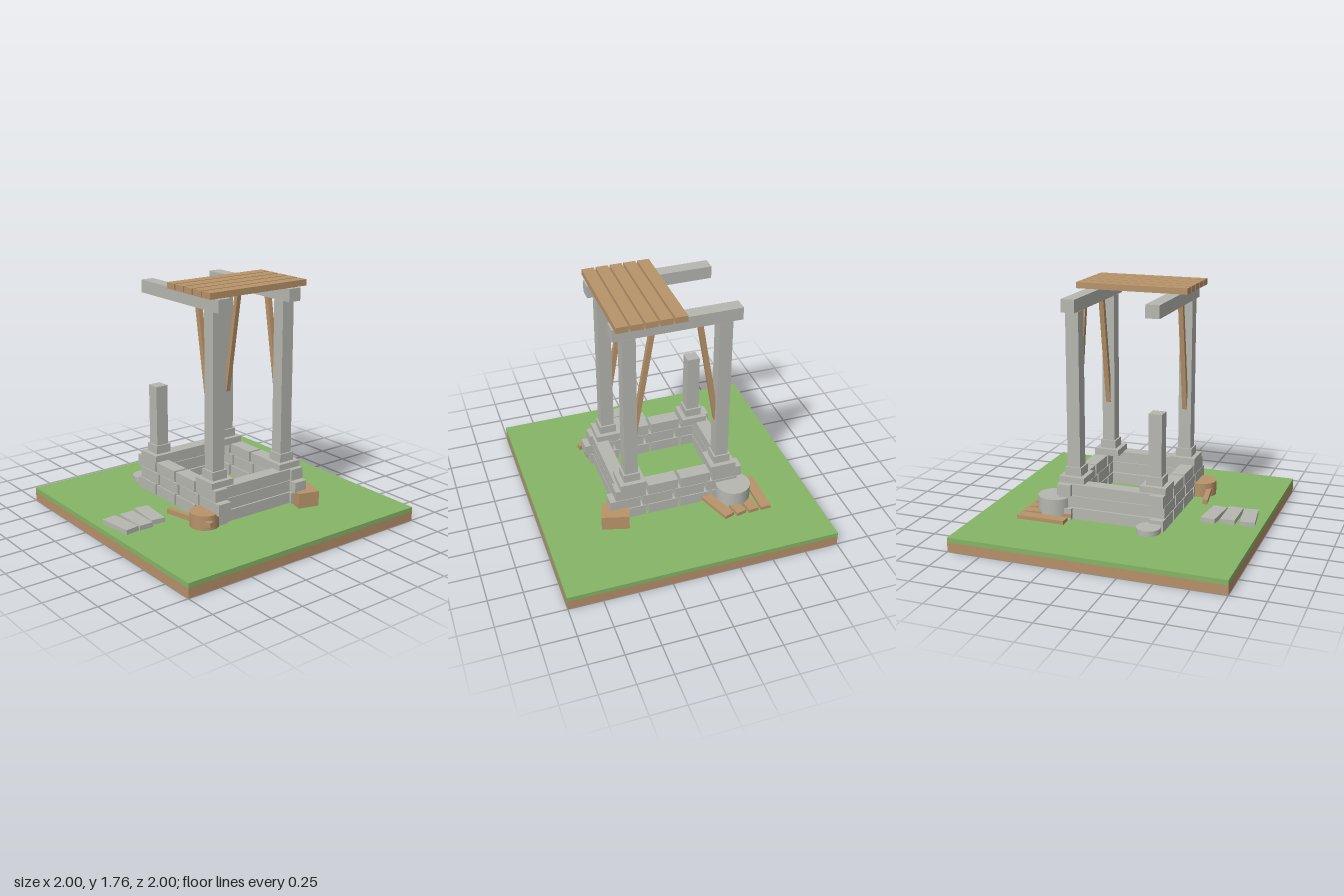
import * as THREE from 'three';

export function createModel() {
  const model = new THREE.Group();
  model.name = 'ruinedWell';
  const mat = (name, color) => {
    const m = new THREE.MeshStandardMaterial({ color });
    m.name = name;
    return m;
  };
  const stone = mat('stone', 0xb6b7b0);
  const wood = mat('wood', 0xb8936a);
  const grass = mat('grass', 0x86b566);
  const dirt = mat('dirt', 0xb8906a);

  const add = (name, geo, material, x, y, z, parent = model) => {
    const m = new THREE.Mesh(geo, material);
    m.name = name;
    m.position.set(x, y, z);
    parent.add(m);
    return m;
  };
  // box given by its extents on each axis
  const span = (name, material, x0, x1, y0, y1, z0, z1, parent) =>
    add(name, new THREE.BoxGeometry(x1 - x0, y1 - y0, z1 - z0), material,
      (x0 + x1) / 2, (y0 + y1) / 2, (z0 + z1) / 2, parent);
  // upright disc or stump
  const disc = (name, material, x, z, r, y0, y1) =>
    add(name, new THREE.CylinderGeometry(r, r, y1 - y0, 24), material, x, (y0 + y1) / 2, z);
  const group = (name) => {
    const g = new THREE.Group();
    g.name = name;
    model.add(g);
    return g;
  };

  // ground slab
  span('soil', dirt, -1, 1, 0, 0.07, -1, 1);
  span('turf', grass, -1, 1, 0.07, 0.105, -1, 1);

  // well walls: three courses, the middle one staggered
  const walls = group('wellWalls');
  [0.135, 0.225, 0.312].forEach((y, row) => {
    const shift = row === 1 ? 0.042 : 0;
    for (const z of [0.344, -0.344]) {
      for (let i = 0; i < 4; i++) {
        const x = -0.485 + shift + i * 0.245;
        span('wallBlock', stone, x, x + 0.224, y, y + 0.083, z - 0.052, z + 0.052, walls);
      }
    }
    for (const x of [-0.404, 0.404]) {
      span('sideWallSlab', stone, x - 0.05, x + 0.05, y, y + 0.083, -0.394, 0.394, walls);
    }
  });

  // posts with stepped footings; the front right one is broken off
  const frame = group('frame');
  for (const sx of [-1, 1]) {
    for (const sz of [-1, 1]) {
      const x = sx * 0.342, z = sz * 0.303;
      const broken = sx < 0 && sz > 0;
      const top = broken ? 0.95 : 1.62;
      span('footing', stone, x - 0.095, x + 0.095, 0.39, 0.44, z - 0.095, z + 0.095, frame);
      span('footingCap', stone, x - 0.061, x + 0.061, 0.44, 0.502, z - 0.061, z + 0.061, frame);
      span('post', stone, x - 0.048, x + 0.048, 0.5, top, z - 0.048, z + 0.048, frame);
      if (!broken) {
        // diagonal brace from beam to post
        const brace = add('brace', new THREE.BoxGeometry(0.036, 0.84, 0.036), wood,
          sx * 0.236, 1.222, z, frame);
        brace.rotation.z = sx * 0.168;
      }
    }
  }
  for (const z of [-0.303, 0.303]) {
    span('topBeam', stone, -0.46, 0.455, 1.622, 1.714, z - 0.05, z + 0.05, frame);
  }

  // remaining roof planks
  const roof = group('roof');
  for (let i = 0; i < 5; i++) {
    const x = -0.045 + i * 0.101;
    span('roofPlank', wood, x, x + 0.087, 1.72, 1.764, -0.414, 0.415, roof);
  }

  // stepping stones in front
  [[0, 0.625, -0.1], [0.024, 0.752, 0], [0.025, 0.88, 0.13]].forEach(([x, z, turn]) => {
    add('steppingStone', new THREE.BoxGeometry(0.26, 0.036, 0.107), stone, x, 0.122, z).rotation.y = turn;
  });

  // fallen planks fanned out at the back
  for (let i = 0; i < 4; i++) {
    const a = [0, 0.12, 0.22, 0.33][i];
    add('fallenPlank', new THREE.BoxGeometry(0.077, 0.027, 0.355), wood,
      -0.587 + i * 0.094 + 0.1775 * Math.sin(a), 0.168, -0.645 + 0.1775 * Math.cos(a)).rotation.y = a;
  }

  // round stones
  disc('roundStone', stone, -0.405, -0.44, 0.126, 0.135, 0.288);
  disc('flatStone', stone, -0.545, 0.31, 0.086, 0.153, 0.192);

  // wooden block, stump and stick
  add('woodBlock', new THREE.BoxGeometry(0.2, 0.112, 0.16), wood, 0.482, 0.18, -0.396).rotation.y = -0.27;
  disc('stump', wood, 0.388, 0.424, 0.105, 0.13, 0.236);
  const stick = add('stick', new THREE.BoxGeometry(0.43, 0.036, 0.036), wood, 0.315, 0.177, 0.495);
  stick.rotation.set(0, 0.15, 0.04);

  return model;
}
